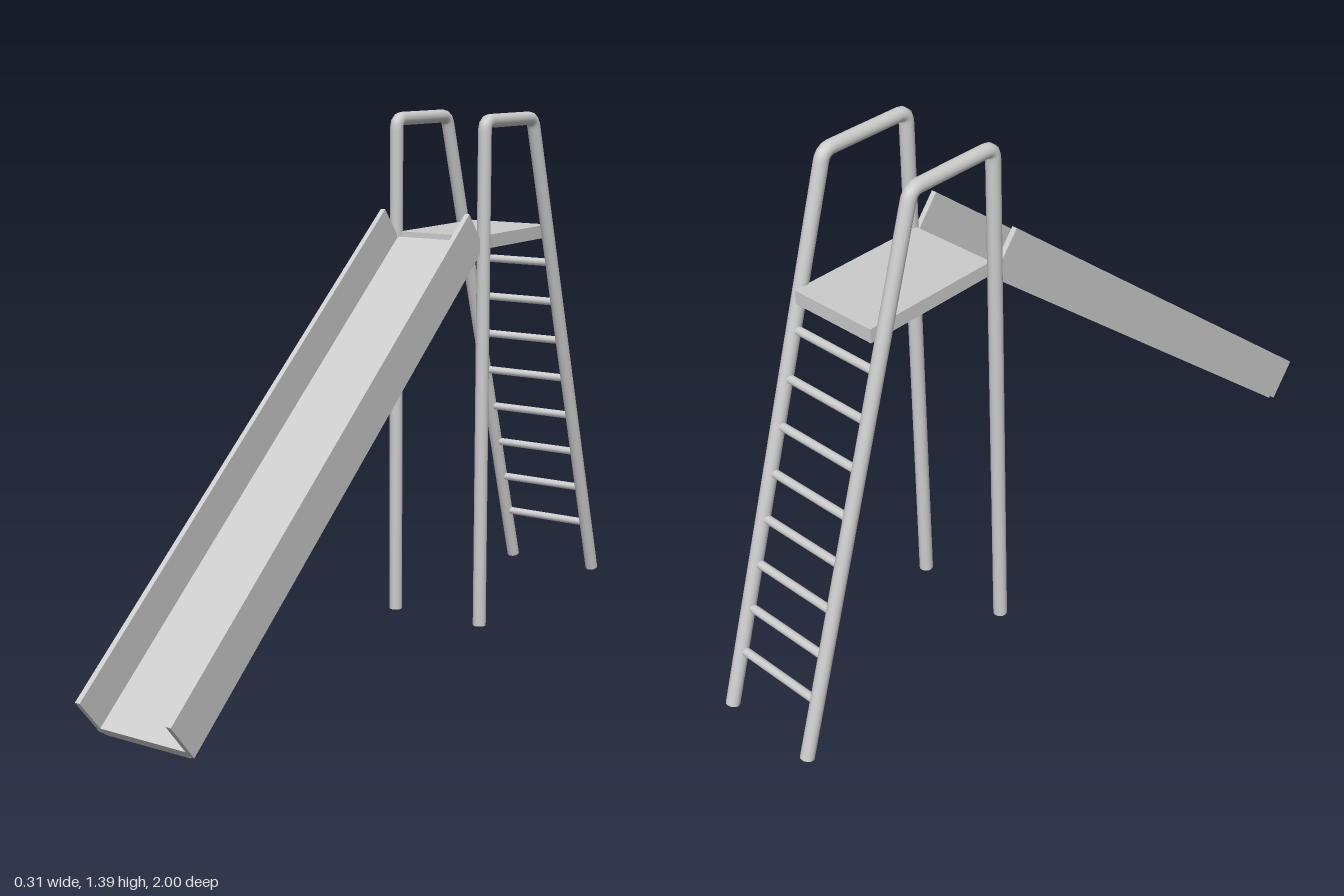
import * as THREE from 'three';

const material = new THREE.MeshStandardMaterial({ color: 0xcccccc });
const TUBE_R = 0.018, RAIL_X = 0.136;

function add(parent, name, geometry, x = 0, y = 0, z = 0) {
  const mesh = new THREE.Mesh(geometry, material);
  mesh.name = name;
  mesh.position.set(x, y, z);
  parent.add(mesh);
  return mesh;
}

// Straight runs joined by small rounded bends
function bentPath(points, bend) {
  const path = new THREE.CurvePath();
  let from = points[0];
  for (let i = 1; i < points.length - 1; i++) {
    const p = points[i];
    const toward = (q) => p.clone().add(q.clone().sub(p).setLength(bend));
    const a = toward(points[i - 1]), b = toward(points[i + 1]);
    path.add(new THREE.LineCurve3(from, a));
    path.add(new THREE.QuadraticBezierCurve3(a, p, b));
    from = b;
  }
  path.add(new THREE.LineCurve3(from, points[points.length - 1]));
  return path;
}

export function createModel() {
  const model = new THREE.Group();
  model.name = 'playgroundSlide';

  // Side frames: front post, handrail and ladder leg bent from one tube
  const top = 1.374;
  const foot = new THREE.Vector3(0, 0.005, -0.982);
  const shoulder = new THREE.Vector3(0, top, -0.56);
  const post = new THREE.Vector3(0, 0.01, -0.302);
  const path = bentPath([post, new THREE.Vector3(0, top, -0.302), shoulder, foot], 0.025);
  const legDir = foot.clone().sub(shoulder).normalize();
  for (const [side, s] of [['left', 1], ['right', -1]]) {
    const frame = new THREE.Group();
    frame.name = side + 'Frame';
    frame.position.x = s * RAIL_X;
    add(frame, side + 'Rail', new THREE.TubeGeometry(path, 260, TUBE_R, 16));
    for (const [end, dir] of [[post, new THREE.Vector3(0, -1, 0)], [foot, legDir]]) {
      const cap = add(frame, side + 'TubeCap', new THREE.CircleGeometry(TUBE_R, 16), 0, end.y, end.z);
      cap.quaternion.setFromUnitVectors(new THREE.Vector3(0, 0, 1), dir);
    }
    model.add(frame);
  }

  // Platform
  add(model, 'platform', new THREE.BoxGeometry(0.244, 0.036, 0.385), 0, 1.056, -0.4925);

  // Ladder rungs between the sloping legs
  const rung = new THREE.CylinderGeometry(0.011, 0.011, RAIL_X * 2, 12).rotateZ(Math.PI / 2);
  for (let i = 0; i < 8; i++) {
    const y = 0.155 + i * 0.116;
    const t = (y - foot.y) / (shoulder.y - foot.y);
    add(model, 'rung', rung, 0, y, THREE.MathUtils.lerp(foot.z, shoulder.z, t));
  }

  // Chute, built flat from its lower end and tilted
  const chute = new THREE.Group();
  chute.name = 'chute';
  chute.position.set(-0.002, 0.05, 0.925);
  chute.rotation.x = 0.68;
  const length = 1.582, panels = 16, step = length / panels;
  for (let i = 0; i < panels; i++) {
    add(chute, 'chutePanel', new THREE.BoxGeometry(0.248, 0.026, step), 0, 0.007, -(i + 0.5) * step);
  }
  for (const [side, s] of [['left', 1], ['right', -1]]) {
    add(chute, side + 'ChuteWall', new THREE.BoxGeometry(0.014, 0.121, length), s * 0.13, 0.0605, -length / 2);
  }
  model.add(chute);

  return model;
}
